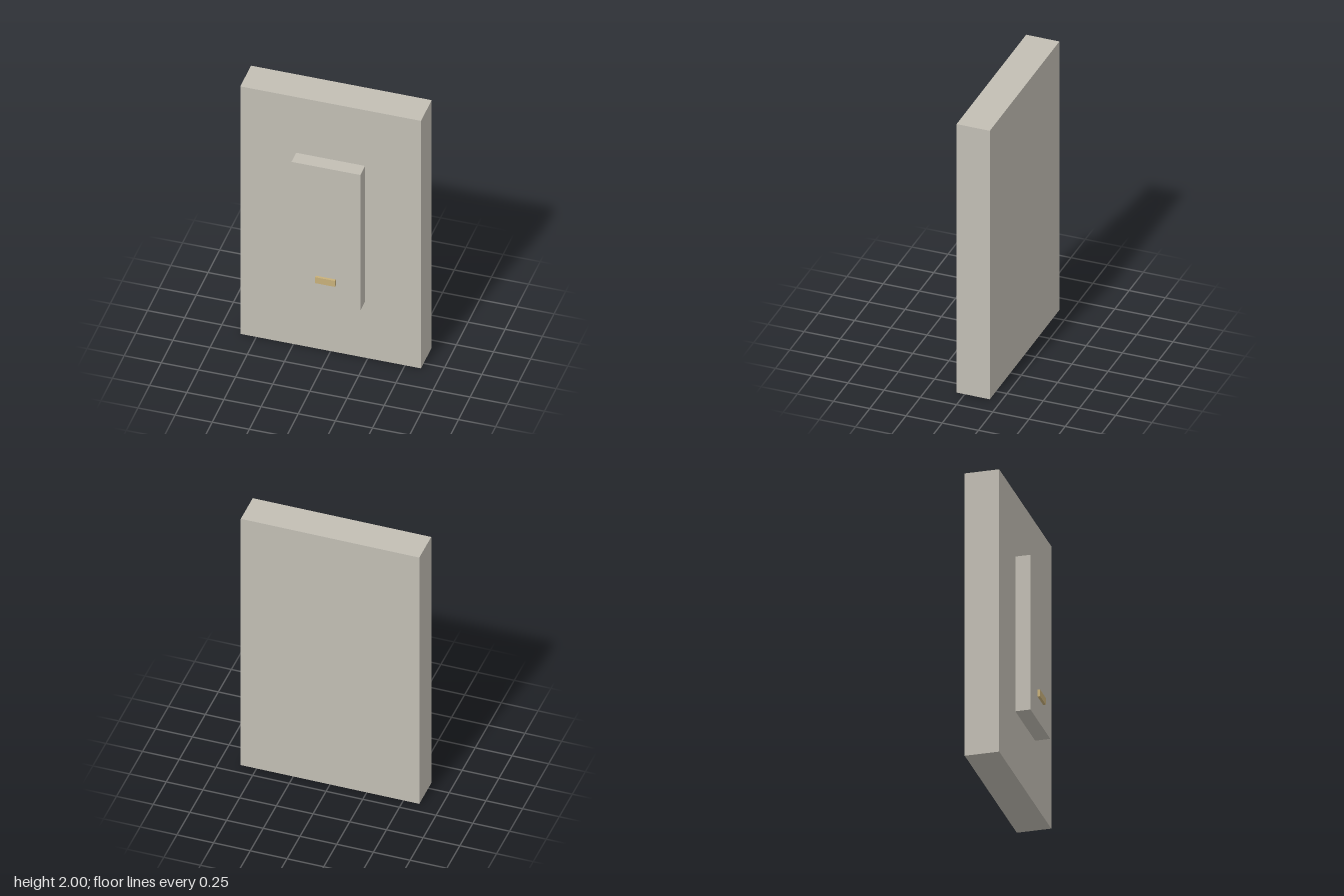
import * as THREE from 'three';

export function createModel() {
  const model = new THREE.Group();
  model.name = 'wallSwitch';

  const plastic = new THREE.MeshStandardMaterial({ color: 0xc2beb4 });
  plastic.name = 'warm grey plastic';
  const amber = new THREE.MeshStandardMaterial({ color: 0xc8b07a });
  amber.name = 'amber indicator';

  // Box spanning y0..y1 and z0..z1, centred on x
  const addBox = (name, width, [y0, y1], [z0, z1], material) => {
    const mesh = new THREE.Mesh(new THREE.BoxGeometry(width, y1 - y0, z1 - z0), material);
    mesh.name = name;
    mesh.position.set(0, (y0 + y1) / 2, (z0 + z1) / 2);
    model.add(mesh);
  };

  // Wall plate, raised paddle and small indicator bar
  addBox('wallPlate', 1.216, [0, 2], [-0.174, 0.056], plastic);
  addBox('paddle', 0.464, [0.454, 1.55], [0.056, 0.157], plastic);
  addBox('indicator', 0.134, [0.62, 0.668], [0.157, 0.174], amber);

  return model;
}
